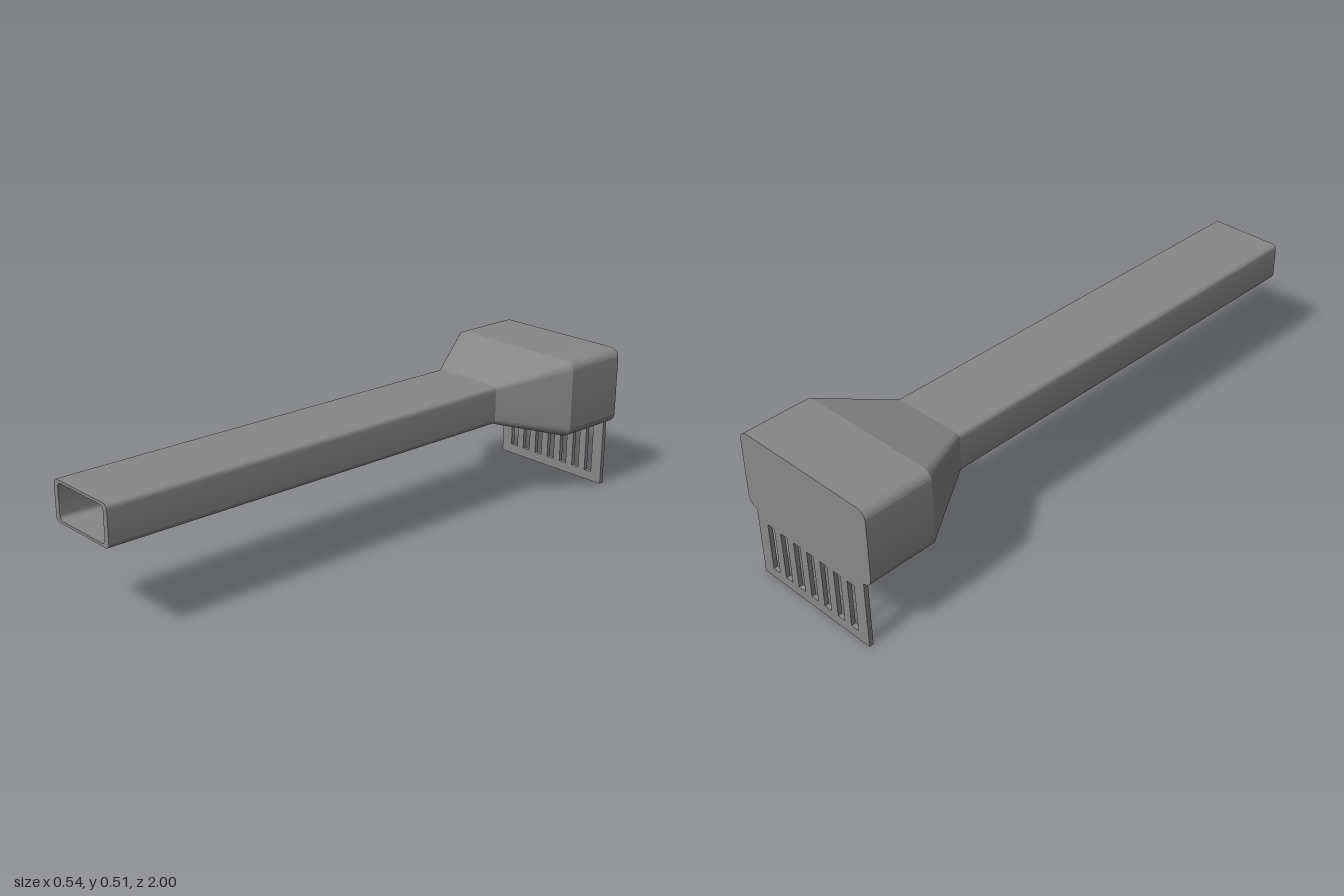
import * as THREE from 'three';
import { toCreasedNormals } from 'three/addons/utils/BufferGeometryUtils.js';

const CY = 0.3717;                       // height of the tube axis
const FLAT = 0.235;                      // half width of comb and bottom opening
const OPEN_BACK = -0.985, OPEN_FRONT = -0.8;

// Rounded rectangle cross-section; the last-to-first segment is the flat bottom
function section([z, hx, hy, r]) {
  const pts = [], steps = 16;
  const corners = [[1, -1], [1, 1], [-1, 1], [-1, -1]];
  corners.forEach(([sx, sy], c) => {
    for (let k = 0; k <= steps; k++) {
      const a = (c - 1 + k / steps) * Math.PI / 2;
      pts.push(new THREE.Vector3(
        sx * (hx - r) + r * Math.cos(a), CY + sy * (hy - r) + r * Math.sin(a), z));
    }
  });
  return pts;
}

// Skin through the sections, leaving the bottom opening free
function hollowBody(stations) {
  const pos = [];
  const tri = (...p) => p.forEach(v => pos.push(v.x, v.y, v.z));
  const quad = (a, b, c, d) => { tri(a, b, c); tri(a, c, d); };
  const rings = stations.map(section);
  for (let i = 0; i < rings.length - 1; i++) {
    const p = rings[i], q = rings[i + 1], n = p.length;
    const zs = [stations[i][0], stations[i + 1][0]];
    const overOpening = Math.min(...zs) === OPEN_BACK && Math.max(...zs) === OPEN_FRONT;
    for (let j = 0; j < n; j++) {
      if (overOpening && j === n - 1) continue;
      const k = (j + 1) % n;
      if (stations[i][1] === 0) tri(p[j], q[k], q[j]);
      else if (stations[i + 1][1] === 0) tri(p[j], p[k], q[j]);
      else quad(p[j], p[k], q[k], q[j]);
    }
  }
  // Thickness of the wall around the opening
  const rim = [[-FLAT, OPEN_BACK], [FLAT, OPEN_BACK], [FLAT, OPEN_FRONT], [-FLAT, OPEN_FRONT]];
  const low = rim.map(([x, z]) => new THREE.Vector3(x, CY - 0.134, z));
  const high = rim.map(([x, z]) => new THREE.Vector3(x, CY - 0.125, z));
  for (let i = 0; i < 4; i++) {
    const k = (i + 1) % 4;
    quad(low[i], low[k], high[k], high[i]);
  }
  const geo = new THREE.BufferGeometry();
  geo.setAttribute('position', new THREE.Float32BufferAttribute(pos, 3));
  return toCreasedNormals(geo, 0.2);
}

// Flat comb plate with a row of slots
function combGeometry() {
  const rect = (T, x0, x1, y0, y1) => new T([
    [x0, y0], [x1, y0], [x1, y1], [x0, y1]].map(p => new THREE.Vector2(...p)));
  const plate = rect(THREE.Shape, -FLAT, FLAT, 0, 0.238);
  for (let i = -3; i <= 3; i++) {
    const x = i * 0.0588;
    plate.holes.push(rect(THREE.Path, x - 0.015, x + 0.015, 0.0335, 0.2025));
  }
  return new THREE.ExtrudeGeometry(plate, { depth: 0.015, bevelEnabled: false });
}

export function createModel() {
  const group = new THREE.Group();
  group.name = 'combScoop';
  const material = new THREE.MeshStandardMaterial({ color: 0x888888 });

  // Outside from back to front, then inside from front to back: z, half width, half height, radius
  const outerHead = [0.2685, 0.134, 0.0335], innerHead = [0.25, 0.125, 0.015];
  const outerTube = [0.1345, 0.0665, 0.016], innerTube = [0.115, 0.0578, 0.015];
  const body = new THREE.Mesh(hollowBody([
    [-1, 0, 0, 0],
    [-1, ...outerHead], [OPEN_BACK, ...outerHead], [OPEN_FRONT, ...outerHead], [-0.762, ...outerHead],
    [-0.53, ...outerTube], [1, ...outerTube],
    [1, ...innerTube], [-0.53, ...innerTube],
    [-0.762, ...innerHead], [OPEN_FRONT, ...innerHead], [OPEN_BACK, ...innerHead],
    [OPEN_BACK, 0, 0, 0],
  ]), material);
  body.name = 'hollowHandleAndHead';

  const comb = new THREE.Mesh(combGeometry(), material);
  comb.name = 'slottedComb';
  comb.position.z = -1;

  group.add(body, comb);
  return group;
}
